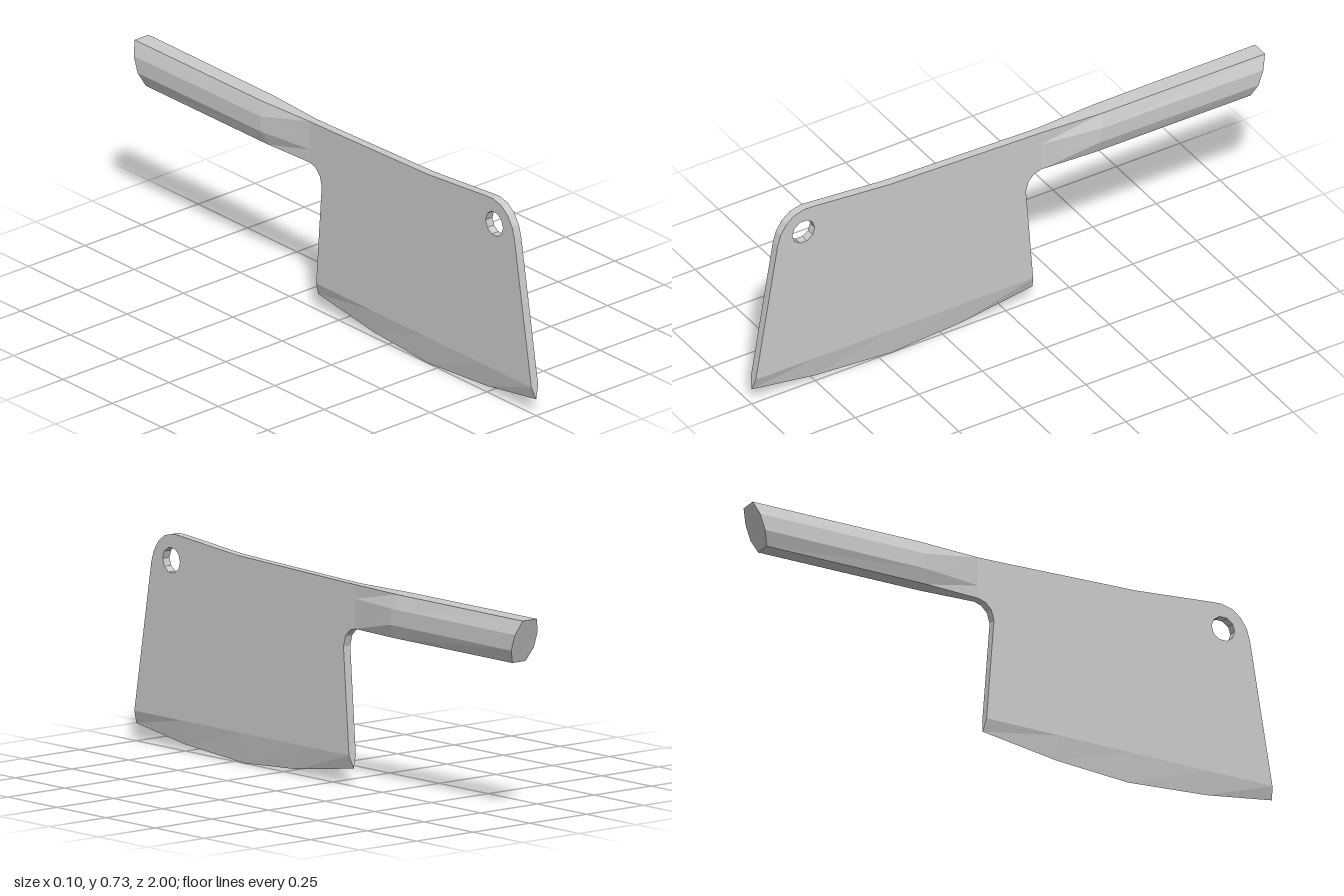
import * as THREE from 'three';

const T = 0.015; // half thickness of the blade

// Skin a list of equal-sized rings, running from +z to -z, each ring
// anticlockwise as seen from +z. Side strip `skip` is left out.
function loft(rings, { skip = -1, capFront = true, capBack = true } = {}) {
  const n = rings[0].length;
  const index = [];
  for (let s = 0; s < rings.length - 1; s++) {
    for (let i = 0; i < n; i++) {
      if (i === skip) continue;
      const a = s * n + i, b = s * n + (i + 1) % n;
      index.push(a, a + n, b + n, a, b + n, b);
    }
  }
  const last = (rings.length - 1) * n;
  for (let i = 1; i < n - 1; i++) {
    if (capFront) index.push(0, i, i + 1);
    if (capBack) index.push(last, last + i + 1, last + i);
  }
  const geo = new THREE.BufferGeometry();
  geo.setAttribute('position', new THREE.Float32BufferAttribute(rings.flat(2), 3));
  geo.setIndex(index);
  const flat = geo.toNonIndexed();
  flat.computeVertexNormals();
  return flat;
}

export function createModel() {
  const group = new THREE.Group();
  group.name = 'cleaver';
  const material = new THREE.MeshStandardMaterial({ color: 0xcccccc, flatShading: true });
  const add = (name, geometry) => {
    const mesh = new THREE.Mesh(geometry, material);
    mesh.name = name;
    group.add(mesh);
  };

  // Blade plate: side outline as (z, y), with a hanging hole
  const outline = [
    [-0.098, 0.105], [0.993, 0.105], [0.907, 0.62], [0.895, 0.66], [0.872, 0.695],
    [0.84, 0.72], [0.80, 0.73], [0.77, 0.729], [0.47, 0.704], [0, 0.691], [-0.13, 0.688],
    [-0.13, 0.538], [-0.103, 0.53], [-0.08, 0.507], [-0.07, 0.47],
  ];
  const shape = new THREE.Shape(outline.map(([z, y]) => new THREE.Vector2(z, y)));
  const hole = [];
  for (let i = 0; i < 10; i++) {
    const a = (i / 10) * Math.PI * 2;
    hole.push(new THREE.Vector2(0.805 + 0.044 * Math.cos(a), 0.64 + 0.044 * Math.sin(a)));
  }
  shape.holes.push(new THREE.Path(hole));
  const plate = new THREE.ExtrudeGeometry(shape, { depth: 2 * T, bevelEnabled: false });
  plate.translate(0, 0, -T).rotateY(-Math.PI / 2);
  add('blade', plate);

  // Ground cutting edge: [z at plate, z at edge, y at edge]
  const edge = [
    [0.993, 1, 0.06], [0.75, 0.75, 0.022], [0.45, 0.45, 0],
    [0.18, 0.18, 0.018], [-0.098, -0.105, 0.06],
  ];
  add('cuttingEdge', loft(
    edge.map(([zt, ze, ye]) => [[T, 0.105, zt], [-T, 0.105, zt], [0, ye, ze]]),
    { skip: 0 },
  ));

  // Handle: eight-sided section flaring out of the neck, with a slanted butt
  const ys = [0.538, 0.585, 0.64, 0.688];
  const ring = (xs, zs) => [
    ...ys.map((y, i) => [xs[i], y, zs[i]]),
    ...ys.map((y, i) => [-xs[i], y, zs[i]]).reverse(),
  ];
  add('handle', loft([
    ring([T, T, T, T], [-0.13, -0.13, -0.13, -0.13]),
    ring([0.027, 0.045, 0.045, 0.029], [-0.33, -0.34, -0.35, -0.36]),
    ring([0.029, 0.05, 0.05, 0.031], [-0.945, -0.963, -0.982, -1]),
  ], { capFront: false }));

  return group;
}
